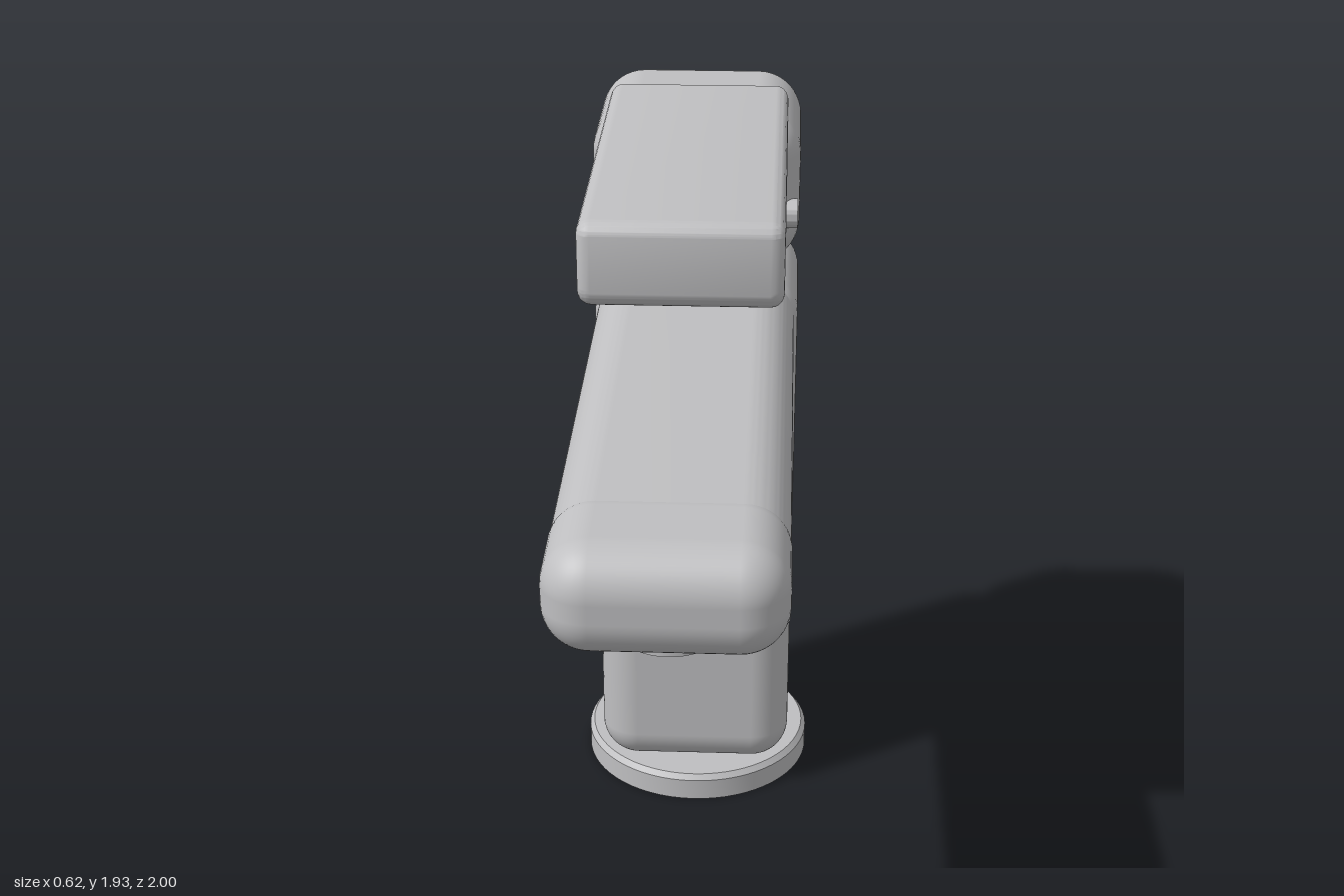
import * as THREE from 'three';
import { toCreasedNormals } from 'three/addons/utils/BufferGeometryUtils.js';
import { RoundedBoxGeometry } from 'three/addons/geometries/RoundedBoxGeometry.js';

export function createModel() {
  const model = new THREE.Group();
  const metal = new THREE.MeshStandardMaterial({ color: 0xbfbfc1 });
  const axisZ = -0.69; // centre line of the column

  function add(name, geometry, x = 0, y = 0, z = 0) {
    const mesh = new THREE.Mesh(geometry, metal);
    mesh.name = name;
    mesh.position.set(x, y, z);
    model.add(mesh);
    return mesh;
  }

  // Rounded box given by its limits on each axis
  function block(name, [x0, x1], [y0, y1], [z0, z1], r) {
    return add(name, new RoundedBoxGeometry(x1 - x0, y1 - y0, z1 - z0, 6, r),
      (x0 + x1) / 2, (y0 + y1) / 2, (z0 + z1) / 2);
  }

  // Side profile drawn as (z, y), extruded across the width with rounded rims
  function sideExtrude(name, shape, halfWidth, bevel) {
    const geometry = new THREE.ExtrudeGeometry(shape, {
      depth: 2 * (halfWidth - bevel), curveSegments: 20,
      bevelEnabled: bevel > 0, bevelThickness: bevel, bevelSize: bevel, bevelOffset: -bevel, bevelSegments: 5,
    });
    geometry.translate(0, 0, bevel - halfWidth);
    geometry.rotateY(-Math.PI / 2);
    return add(name, toCreasedNormals(geometry, 0.6));
  }

  function lathe(name, points, x, y, z) {
    const geometry = new THREE.LatheGeometry(points.map(([r, h]) => new THREE.Vector2(r, h)), 64);
    return add(name, toCreasedNormals(geometry, 0.5), x, y, z);
  }

  // Round foot with a small chamfer
  lathe('base', [[0, 0], [0.31, 0], [0.31, 0.06], [0.298, 0.075], [0, 0.075]], 0, 0, axisZ);

  // Column and valve head, separated by a narrow gap
  block('column', [-0.257, 0.257], [0.075, 1.5], [-0.947, -0.43], 0.1);
  block('valveHead', [-0.255, 0.255], [1.535, 1.925], [-0.947, -0.43], 0.11);

  // Spout: flat underside, generously rounded upper edges
  const w = 0.247, low = 1.295, top = 1.5, R = 0.1, r = 0.025;
  const section = new THREE.Shape();
  section.moveTo(-w + r, low);
  section.lineTo(w - r, low);
  section.absarc(w - r, low + r, r, -Math.PI / 2, 0);
  section.absarc(w - R, top - R, R, 0, Math.PI / 2);
  section.absarc(-w + R, top - R, R, Math.PI / 2, Math.PI);
  section.absarc(-w + r, low + r, r, Math.PI, Math.PI * 1.5);
  const spout = new THREE.ExtrudeGeometry(section, { depth: 1.4, bevelEnabled: false, curveSegments: 12 });
  add('spout', toCreasedNormals(spout, 0.5), 0, 0, -0.52);
  block('spoutTip', [-0.249, 0.249], [1.26, 1.502], [0.66, 1], 0.1);

  // Hollow outlet with a recessed strainer disc
  lathe('outlet', [[0, 0.03], [0.08, 0.03], [0.08, 0], [0.105, 0], [0.105, 0.1], [0, 0.1]], 0, 1.2, 0.74);

  // Concave bracket under the spout
  const bracket = new THREE.Shape();
  bracket.moveTo(-0.5, 0.945);
  bracket.lineTo(-0.43, 0.945);
  bracket.lineTo(-0.43, 0.97);
  bracket.absarc(-0.1, 0.97, 0.325, Math.PI, Math.PI / 2, true);
  bracket.lineTo(-0.1, 1.34);
  bracket.lineTo(-0.5, 1.34);
  sideExtrude('bracket', bracket, 0.222, 0);

  // Lever: flat plate with a turned-down front lip
  const lever = new THREE.Shape();
  lever.moveTo(-0.71, 1.83);
  lever.lineTo(0.22, 1.83);
  lever.lineTo(0.22, 1.78);
  lever.absarc(0.266, 1.78, 0.046, Math.PI, Math.PI * 2);
  lever.absarc(0.277, 1.893, 0.035, 0, Math.PI / 2);
  lever.lineTo(-0.71, 1.928);
  sideExtrude('lever', lever, 0.222, 0.03);

  // Grub screw on the left side of the head
  const screw = lathe('grubScrew',
    [[0, 0], [0.036, 0], [0.036, 0.1], [0.02, 0.1], [0.02, 0.08], [0, 0.08]], 0.15, 1.68, -0.475);
  screw.rotation.z = -Math.PI / 2;

  return model;
}
